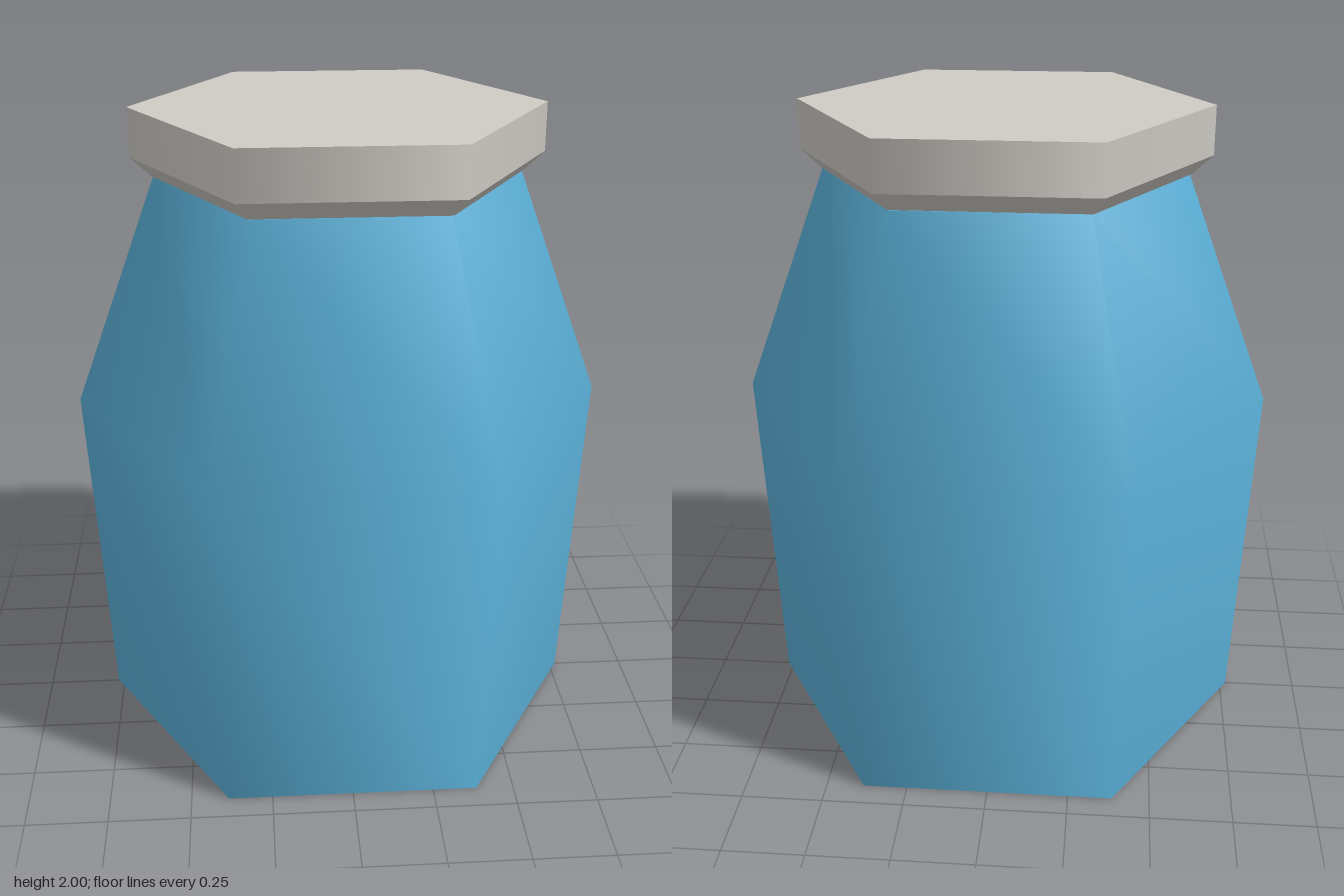
import * as THREE from 'three';

const glassBlue = new THREE.MeshStandardMaterial({ color: 0x5cb2da });
glassBlue.name = 'jar blue';
const lidGrey = new THREE.MeshStandardMaterial({ color: 0xcfccc5 });
lidGrey.name = 'lid grey';

// Six-sided turned form with corners on the x axis; a repeated point makes a sharp edge
function hexTurned(name, profile, material) {
  const points = profile.map(([r, y]) => new THREE.Vector2(r, y));
  const mesh = new THREE.Mesh(new THREE.LatheGeometry(points, 6, Math.PI / 2), material);
  mesh.name = name;
  return mesh;
}

export function createModel() {
  const jar = new THREE.Group();
  jar.name = 'jar';

  // Body: flat base, slight flare, shoulder softly shaded into the neck
  jar.add(hexTurned('body', [
    [0, 0], [0.77, 0], [0.77, 0],
    [0.828, 1.07],
    [0.56, 1.79], [0.56, 1.79], [0, 1.79],
  ], glassBlue));

  // Lid: bevelled underside, upright rim, flat top
  jar.add(hexTurned('lid', [
    [0, 1.792], [0.565, 1.792], [0.565, 1.792],
    [0.628, 1.85], [0.628, 1.85],
    [0.628, 2], [0.628, 2], [0, 2],
  ], lidGrey));

  return jar;
}
